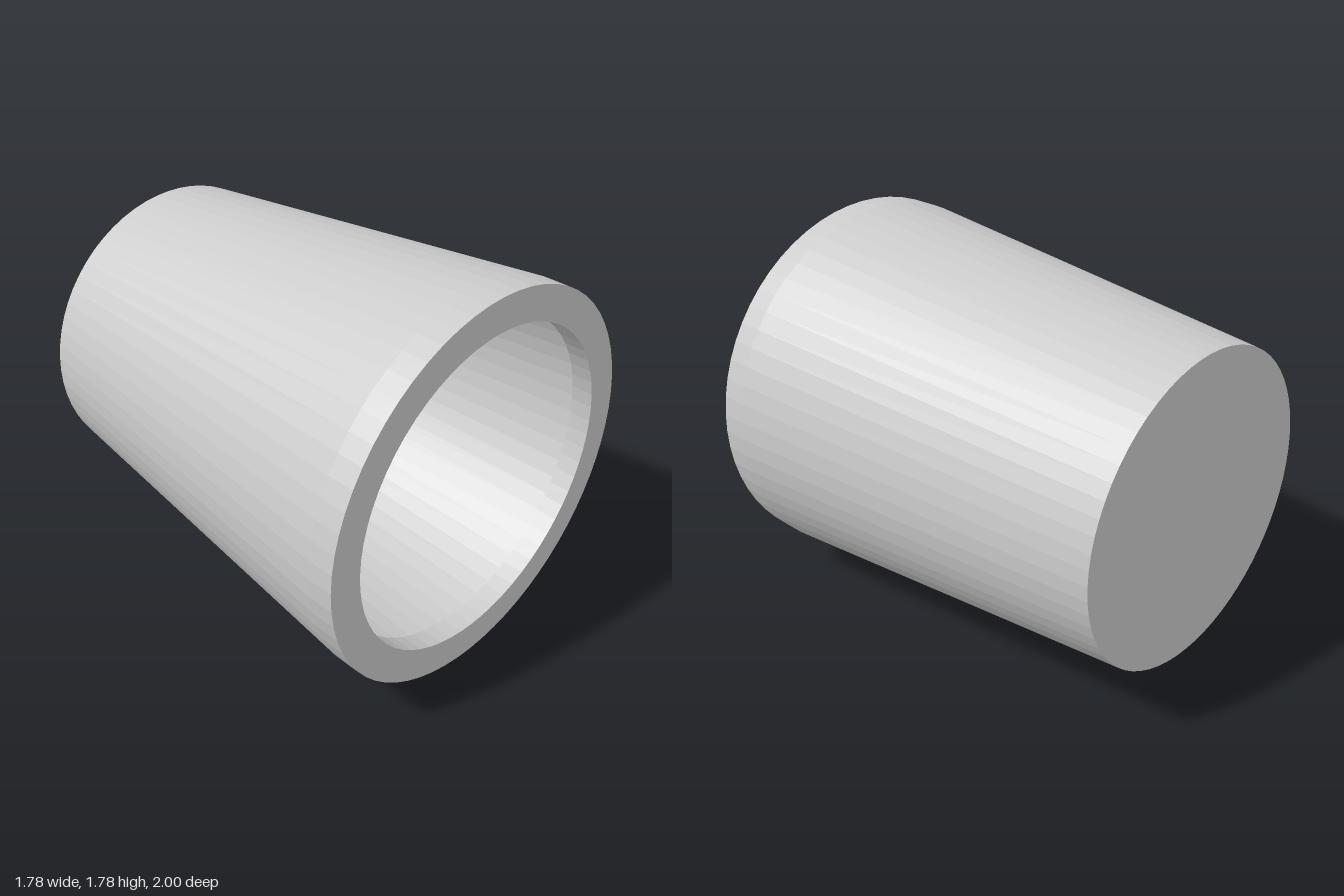
import * as THREE from 'three';

export function createModel() {
  const group = new THREE.Group();
  const material = new THREE.MeshStandardMaterial({ color: 0xcccccc, flatShading: true });
  const radius = 0.888;

  // Closed section as [radius, z]: outside from back to front, then the inside back down
  const section = [
    [0, -1], [0.708, -1],            // back end
    [radius, 0.88], [radius, 1],     // tapered wall, straight band
    [0.735, 1], [0.735, 0.9],        // thick lip
    [0.868, 0.9],                    // undercut behind the lip
    [0.692, -0.98], [0, -0.98],      // thin inner wall, floor
  ].map(([r, z]) => new THREE.Vector2(r, z));

  // Turn the section, then lay its axis along z with the opening to the front
  const geometry = new THREE.LatheGeometry(section, 64);
  geometry.rotateX(Math.PI / 2);

  const cup = new THREE.Mesh(geometry, material);
  cup.name = 'taperedCup';
  cup.position.y = radius;
  group.add(cup);
  return group;
}
